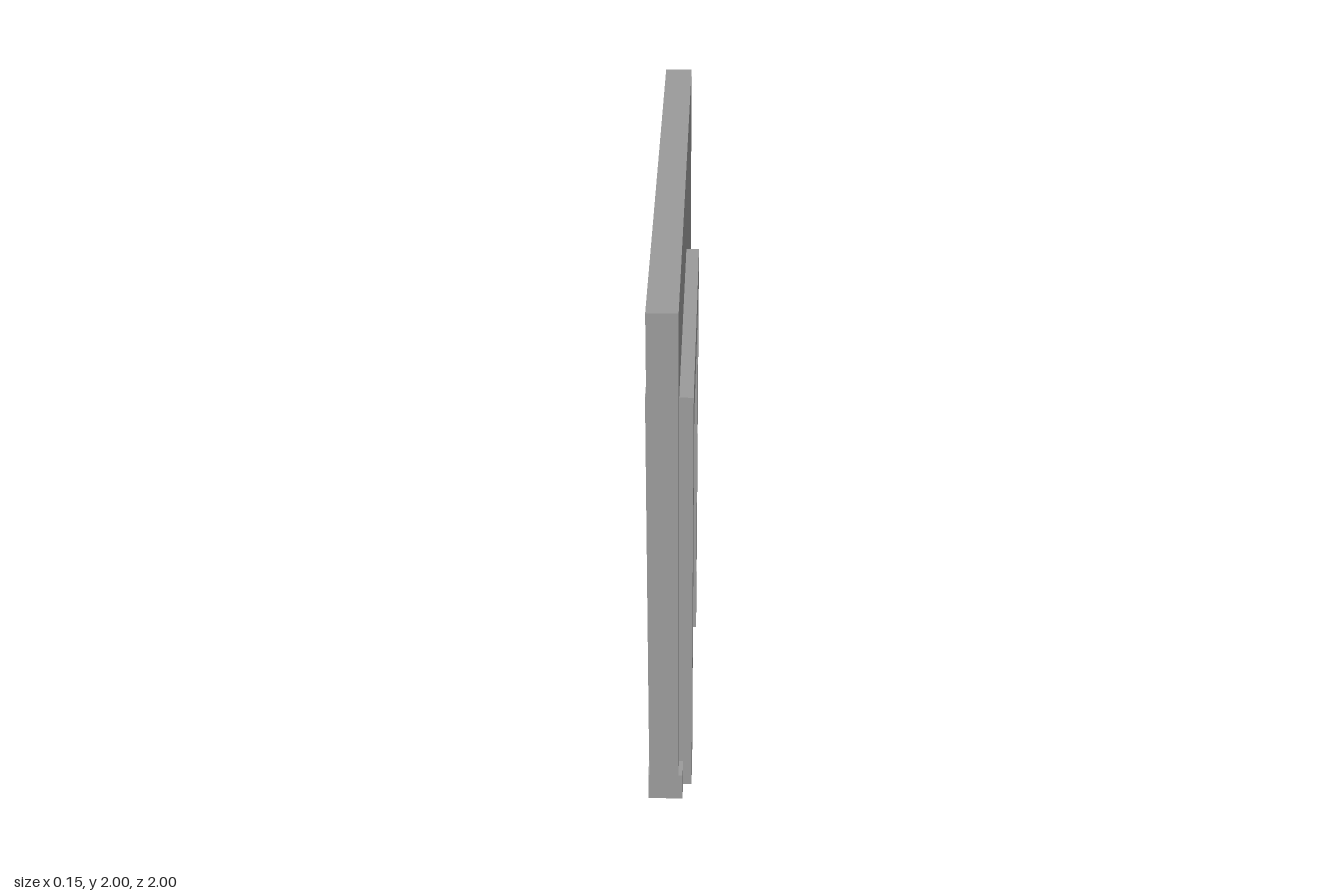
import * as THREE from 'three';

const material = new THREE.MeshStandardMaterial({ color: 0x9b9b9b });

// Thickness layers along x
const WALL = [-0.07, 0.031];
const OUTER = [-0.077, 0.077];
const SKIRT_LEFT = 0.046;
// Doorway edges along z and y
const DOOR = { z0: 0.02, z1: 0.794, top: 1.506 };
const TRIM = { z0: -0.11, z1: 0.925, top: 1.657 };
const SKIRT_TOP = 0.112;

// Extrude a (z, y) outline from x0 to x1
function slab(name, points, x0, x1) {
  const shape = new THREE.Shape(points.map(([z, y]) => new THREE.Vector2(z, y)));
  const geometry = new THREE.ExtrudeGeometry(shape, { depth: x1 - x0, bevelEnabled: false });
  geometry.rotateY(-Math.PI / 2).translate(x1, 0, 0);
  const mesh = new THREE.Mesh(geometry, material);
  mesh.name = name;
  return mesh;
}

// Arch outline: an outer rectangle with the doorway cut up from the floor
const arch = (z0, z1, top) => [
  [z0, 0], [DOOR.z0, 0], [DOOR.z0, DOOR.top], [DOOR.z1, DOOR.top],
  [DOOR.z1, 0], [z1, 0], [z1, top], [z0, top],
];

const rect = (z0, z1, top) => [[z0, 0], [z1, 0], [z1, top], [z0, top]];

export function createModel() {
  const model = new THREE.Group();
  model.name = 'doorwayWall';

  // Wall panel with door opening
  model.add(slab('wall', arch(-1, 1, 2), WALL[0], WALL[1]));

  // Door casing and skirting on both faces; the casing is deeper on the left
  const sides = [
    { name: 'left', casing: [WALL[1], OUTER[1]], skirting: [WALL[1], SKIRT_LEFT] },
    { name: 'right', casing: [OUTER[0], WALL[0]], skirting: [OUTER[0], WALL[0]] },
  ];
  for (const { name, casing, skirting } of sides) {
    model.add(slab(name + 'DoorCasing', arch(TRIM.z0, TRIM.z1, TRIM.top), ...casing));
    model.add(slab(name + 'BackSkirting', rect(-1, TRIM.z0, SKIRT_TOP), ...skirting));
    model.add(slab(name + 'FrontSkirting', rect(TRIM.z1, 1, SKIRT_TOP), ...skirting));
  }
  return model;
}
